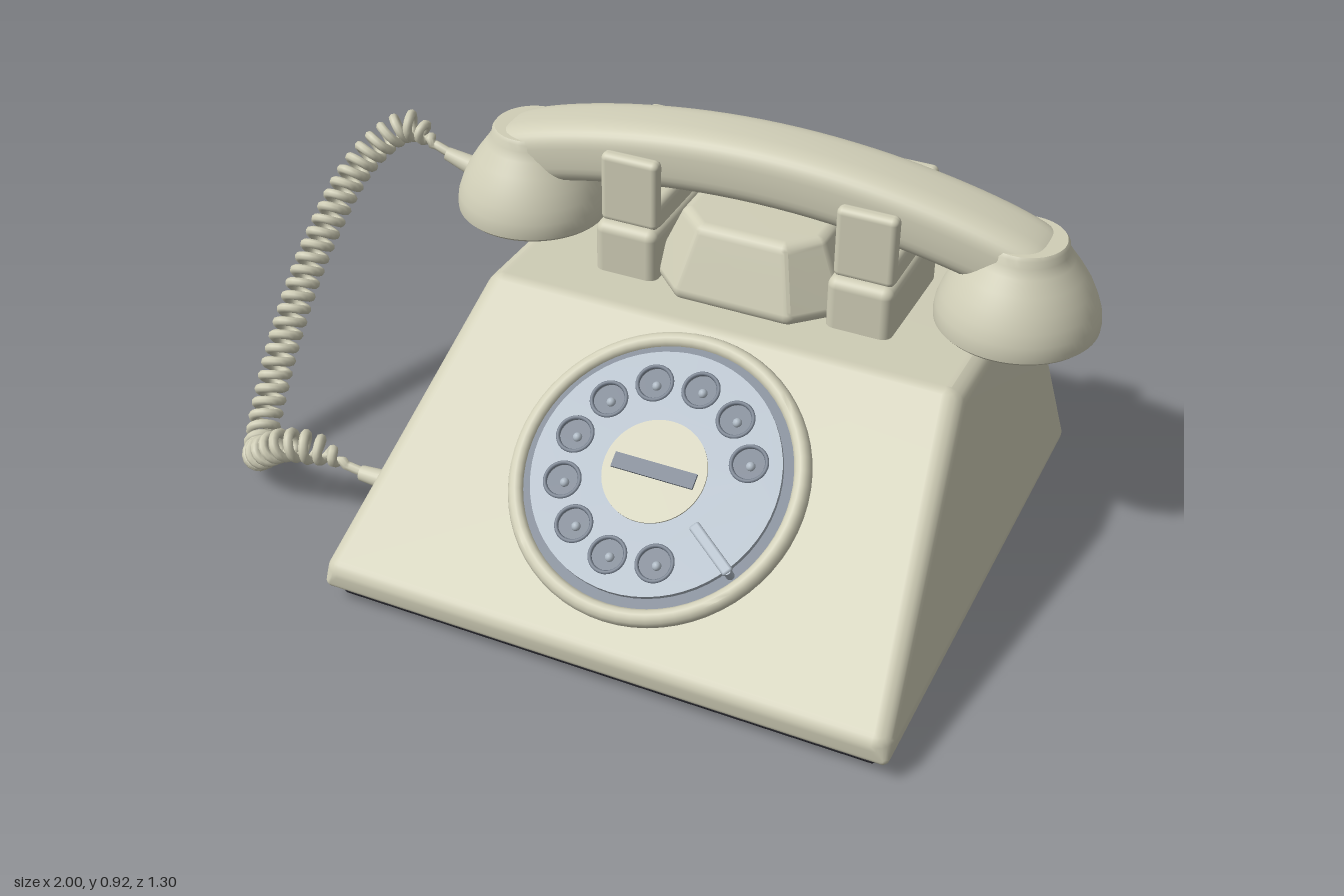
import * as THREE from 'three';
import { mergeVertices, toCreasedNormals } from 'three/addons/utils/BufferGeometryUtils.js';
import { RoundedBoxGeometry } from 'three/addons/geometries/RoundedBoxGeometry.js';
import { ConvexGeometry } from 'three/addons/geometries/ConvexGeometry.js';

const CX = 0.19;   // middle of the telephone
const HZ = -0.305; // handset line

function mat(name, color) {
  const m = new THREE.MeshStandardMaterial({ color });
  m.name = name;
  return m;
}

// Weld and smooth; large flat faces dominate the normals so fillets blend
function smooth(geo) {
  geo.deleteAttribute('normal');
  geo.deleteAttribute('uv');
  const g = mergeVertices(geo, 1e-4);
  g.computeVertexNormals();
  return g;
}

// Rounded solid: hull around spheres [x, y, z, r], mirrored in x
function roundedHull(corners) {
  const pts = [];
  for (const [x, y, z, r] of corners) for (const side of [-1, 1]) {
    const p = new THREE.SphereGeometry(r, 20, 12).attributes.position;
    for (let i = 0; i < p.count; i++) {
      pts.push(new THREE.Vector3(p.getX(i) + x * side, p.getY(i) + y, p.getZ(i) + z));
    }
  }
  return smooth(new ConvexGeometry(pts));
}

function lathe(points, segments = 64) {
  const g = new THREE.LatheGeometry(points.map(([x, y]) => new THREE.Vector2(x, y)), segments);
  return toCreasedNormals(g, 0.7);
}

export function createModel() {
  const root = new THREE.Group();
  root.name = 'telephone';
  const cream = mat('cream', 0xd0ceb7);
  const steel = mat('pale blue grey', 0xafbac5);
  const slate = mat('slate', 0x727c8a);
  const dark = mat('near black', 0x2c2c33);

  function add(parent, name, geo, material, x = 0, y = 0, z = 0) {
    const m = new THREE.Mesh(geo, material);
    m.name = name;
    m.position.set(x, y, z);
    parent.add(m);
    return m;
  }

  // Wedge housing
  add(root, 'housing', roundedHull([
    [0.65, 0.08, 0.609, 0.04], [0.672, 0.056, 0.63, 0.016],
    [0.663, 0.067, -0.624, 0.027],
    [0.55, 0.505, -0.02, 0.05], [0.55, 0.487, -0.54, 0.05],
  ]), cream, CX);

  // Base plate and feet
  add(root, 'basePlate', new RoundedBoxGeometry(1.31, 0.034, 1.235, 3, 0.012), dark, CX, 0.03, 0.005);
  for (const x of [-0.555, 0.555]) for (const z of [0.54, -0.52]) {
    add(root, 'foot', new THREE.CylinderGeometry(0.055, 0.05, 0.018, 32), dark, CX + x, 0.009, z);
  }

  // Dial: local z points out of the sloping face
  const dial = new THREE.Group();
  dial.name = 'dial';
  dial.position.set(CX, 0.344, 0.3);
  dial.rotation.x = -0.962;
  root.add(dial);
  const disc = (name, r, z0, z1, material) =>
    add(dial, name, new THREE.CylinderGeometry(r, r, z1 - z0, 64).rotateX(Math.PI / 2), material, 0, 0, (z0 + z1) / 2);

  add(dial, 'dialBezel', lathe([
    [0.35, -0.01], [0.35, 0.008], [0.346, 0.018], [0.338, 0.026], [0.328, 0.028],
    [0.318, 0.025], [0.312, 0.016], [0.31, 0.004],
  ]).rotateX(Math.PI / 2), cream);
  disc('dialWell', 0.313, -0.01, 0.014, slate);

  const plate = new THREE.Shape().absarc(0, 0, 0.29, 0, Math.PI * 2);
  for (let i = 0; i < 10; i++) {
    const a = THREE.MathUtils.degToRad(21 + 30 * i);
    const x = 0.214 * Math.cos(a), y = 0.214 * Math.sin(a);
    plate.holes.push(new THREE.Path().absarc(x, y, 0.04, 0, Math.PI * 2, true));
    add(dial, 'fingerHoleRim', new THREE.TorusGeometry(0.041, 0.005, 8, 32), slate, x, y, 0.033);
    add(dial, 'fingerHoleDot', new THREE.SphereGeometry(0.011, 12, 8), steel, x, y, 0.014);
  }
  add(dial, 'fingerWheel', new THREE.ExtrudeGeometry(plate, {
    depth: 0.014, bevelEnabled: false, curveSegments: 32,
  }), steel, 0, 0, 0.02);
  disc('dialCentre', 0.122, 0.02, 0.038, cream);
  add(dial, 'numberStrip', new THREE.BoxGeometry(0.2, 0.036, 0.008), slate, 0, 0, 0.04);

  // Finger stop reaching in over the wheel
  const stopAngle = -0.62;
  const stop = add(dial, 'fingerStop', new RoundedBoxGeometry(0.14, 0.026, 0.014, 3, 0.006), steel,
    0.235 * Math.cos(stopAngle), 0.235 * Math.sin(stopAngle), 0.05);
  stop.rotation.z = stopAngle;
  add(dial, 'fingerStopPost', new THREE.CylinderGeometry(0.01, 0.01, 0.05, 12).rotateX(Math.PI / 2), steel,
    0.298 * Math.cos(stopAngle), 0.298 * Math.sin(stopAngle), 0.028);

  // Cradle: central hump, two blocks and four prongs
  const hump = [];
  for (const s of [-1, 1]) {
    hump.push([0.13, 0.57, 0.18 * s, 0.03], [0.21, 0.57, 0.1 * s, 0.03],
      [0.1, 0.7, 0.135 * s, 0.03], [0.155, 0.7, 0.08 * s, 0.03]);
  }
  add(root, 'cradleHump', roundedHull(hump), cream, CX, 0, HZ);
  for (const side of [-1, 1]) {
    const x = CX + side * 0.294;
    add(root, 'cradleBlock', new RoundedBoxGeometry(0.16, 0.16, 0.34, 4, 0.025), cream, x, 0.6, HZ);
    add(root, 'cradleSaddle', new RoundedBoxGeometry(0.14, 0.09, 0.27, 4, 0.02), cream, x, 0.69, HZ);
    for (const s of [-1, 1]) {
      add(root, 'cradleProng', new RoundedBoxGeometry(0.148, 0.18, 0.038, 4, 0.016), cream, x, 0.763, HZ + s * 0.128);
    }
  }

  // Handset: a sphere reshaped into an arched bar, and two cups
  const handset = new THREE.Group();
  handset.name = 'handset';
  handset.position.set(CX, 0, HZ);
  root.add(handset);
  const bar = new THREE.SphereGeometry(1, 40, 48).rotateZ(Math.PI / 2);
  const bp = bar.attributes.position;
  const soften = (v) => Math.sign(v) * Math.abs(v) ** 0.6;
  for (let i = 0; i < bp.count; i++) {
    const t = bp.getX(i), a = Math.atan2(bp.getY(i), bp.getZ(i));
    const taper = Math.max(0, 1 - Math.abs(t) ** 10) ** 0.1 * (Math.abs(t) > 0.99999 ? 0 : 1);
    const u = 0.695 * t;
    bp.setXYZ(i, u, 0.84 - 0.235 * u * u + 0.08 * taper * soften(Math.sin(a)), 0.099 * taper * soften(Math.cos(a)));
  }
  add(handset, 'handle', smooth(bar), cream);

  const cup = lathe([
    [0, 0.568], [0.165, 0.568], [0.168, 0.578], [0.182, 0.578], [0.19, 0.586], [0.191, 0.6],
    [0.188, 0.625], [0.178, 0.655], [0.162, 0.69], [0.14, 0.725], [0.116, 0.758],
    [0.103, 0.778], [0.1, 0.795], [0.094, 0.803], [0, 0.803],
  ]);
  for (const side of [-1, 1]) add(handset, side < 0 ? 'mouthpiece' : 'earpiece', cup, cream, side * 0.62);

  // Coiled cord: a helix wound around a curved path
  const path = new THREE.CatmullRomCurve3([
    [-0.64, 0.655, -0.305], [-0.72, 0.68, -0.31], [-0.8, 0.7, -0.33], [-0.895, 0.62, -0.26],
    [-0.945, 0.45, -0.1], [-0.955, 0.25, 0.08], [-0.94, 0.09, 0.22], [-0.91, 0.06, 0.29],
    [-0.85, 0.12, 0.36], [-0.76, 0.185, 0.38], [-0.68, 0.19, 0.37], [-0.6, 0.165, 0.365], [-0.53, 0.155, 0.365],
  ].map((p) => new THREE.Vector3(...p)));
  const turns = 46, steps = turns * 14;
  const frames = path.computeFrenetFrames(steps, false);
  const coil = [];
  for (let i = 0; i <= steps; i++) {
    const t = i / steps, a = t * turns * Math.PI * 2;
    const r = 0.031 * THREE.MathUtils.smoothstep(Math.min(t, 1 - t), 0.035, 0.11);
    coil.push(path.getPointAt(t)
      .addScaledVector(frames.normals[i], r * Math.cos(a))
      .addScaledVector(frames.binormals[i], r * Math.sin(a)));
  }
  const coilCurve = new THREE.CatmullRomCurve3(coil);
  coilCurve.arcLengthDivisions = steps * 3;
  add(root, 'coiledCord', new THREE.TubeGeometry(coilCurve, steps, 0.012, 8), cream);

  // Cord sleeves at the mouthpiece and the housing
  const upper = add(root, 'upperSleeve', new THREE.CylinderGeometry(0.017, 0.027, 0.09, 24), cream, -0.633, 0.651, -0.305);
  upper.rotation.z = Math.PI / 2 - 0.25;
  const lower = add(root, 'lowerSleeve', new THREE.CylinderGeometry(0.019, 0.026, 0.1, 24), cream, -0.51, 0.155, 0.365);
  lower.rotation.z = Math.PI / 2;

  return root;
}
